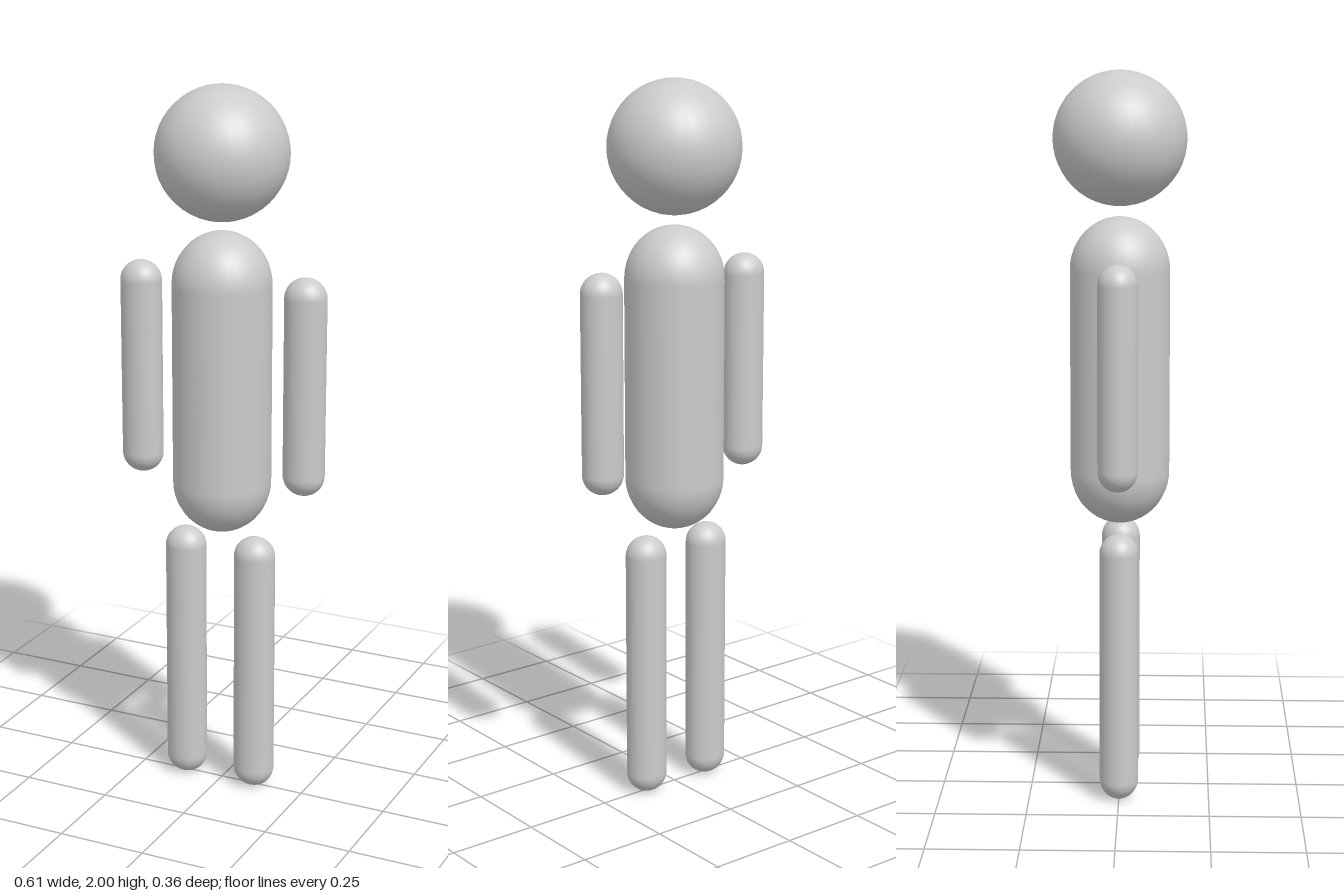
import * as THREE from 'three';

const material = new THREE.MeshStandardMaterial({ color: 0xcccccc });

// Upright rounded limb between two heights, with an oval cross-section
function capsule(name, x, bottom, top, rx, rz, capHeight) {
  const stretch = capHeight / rx;
  const straight = (top - bottom - 2 * capHeight) / stretch;
  const geometry = new THREE.CapsuleGeometry(rx, straight, 12, 32);
  geometry.scale(1, stretch, rz / rx);
  const mesh = new THREE.Mesh(geometry, material);
  mesh.name = name;
  mesh.position.set(x, (bottom + top) / 2, 0);
  return mesh;
}

export function createModel() {
  const model = new THREE.Group();
  model.name = 'figure';

  // Head, floating just above the torso
  const head = new THREE.Mesh(new THREE.SphereGeometry(0.181, 32, 24), material);
  head.name = 'head';
  head.position.y = 1.819;
  model.add(head);

  model.add(capsule('torso', 0, 0.765, 1.61, 0.136, 0.136, 0.145));

  // Arms
  for (const [name, x] of [['leftArm', 0.245], ['rightArm', -0.245]]) {
    model.add(capsule(name, x, 0.903, 1.508, 0.058, 0.0535, 0.056));
  }

  // Legs, set slightly off centre
  for (const [name, x] of [['leftLeg', 0.1], ['rightLeg', -0.112]]) {
    model.add(capsule(name, x, 0, 0.756, 0.058, 0.0535, 0.056));
  }

  return model;
}
